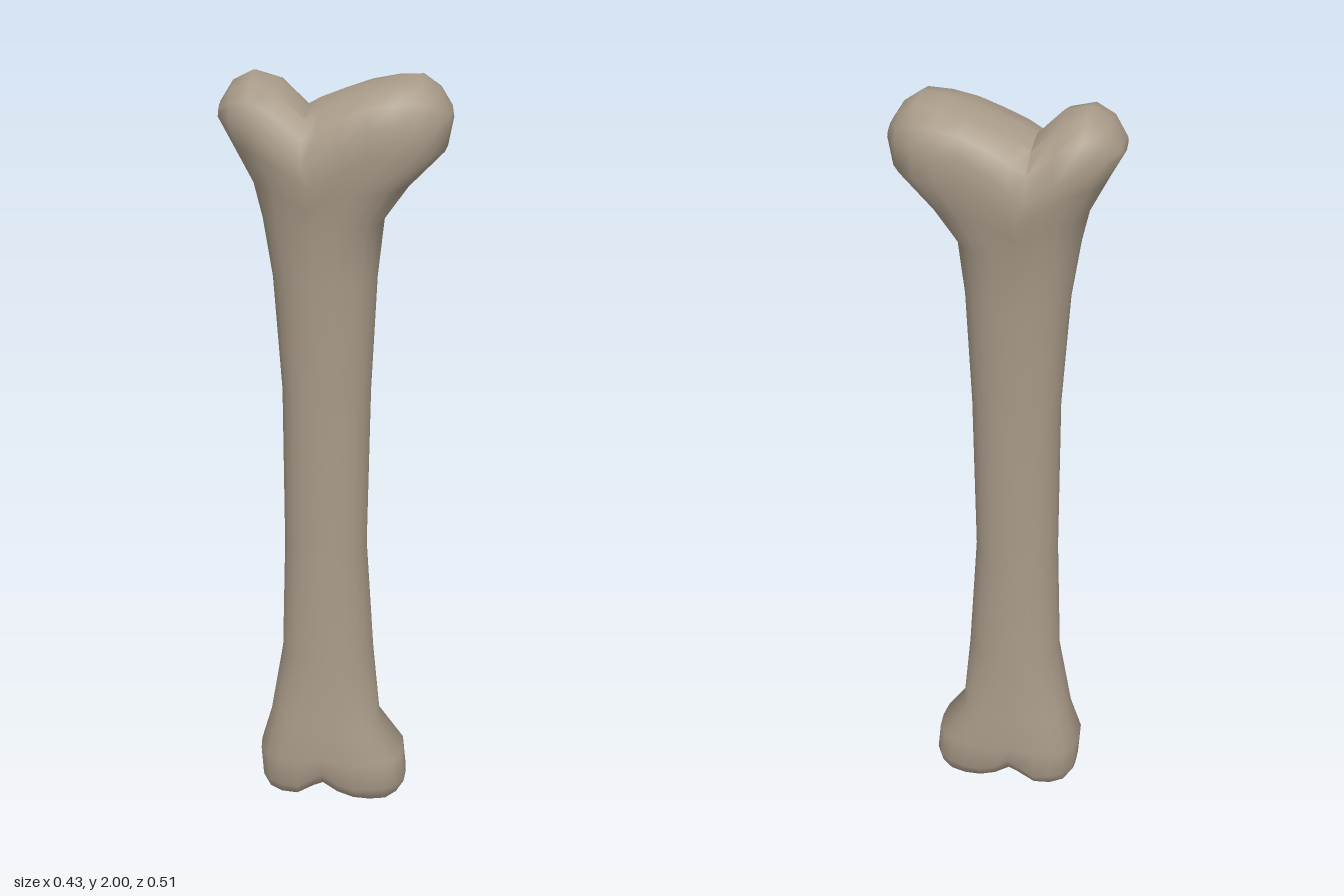
import * as THREE from 'three';
import { toCreasedNormals } from 'three/addons/utils/BufferGeometryUtils.js';

// Fractions along the wide axis where each cross-section is sampled
const S = [-1, -0.98, -0.87, -0.7, -0.48, -0.25, -0.12, 0.08, 0.3, 0.52, 0.73, 0.88, 0.98, 1];
const T = [1, 0.85, 0.5, 0, -0.5, -0.85, -1];

// Cross-sections: height, wide-axis min and max, half thickness, squareness, notch lift, valley drop
const RINGS = [
  [0.07, -0.208, 0.182, 0.113, 3, 0.05, 0],
  [0.15, -0.213, 0.174, 0.116, 3, 0.015, 0],
  [0.25, -0.185, 0.108, 0.107, 2.4, 0, 0],
  [0.45, -0.152, 0.09, 0.097, 2.1, 0, 0],
  [0.77, -0.143, 0.07, 0.089, 2.1, 0, 0],
  [1.2, -0.145, 0.078, 0.09, 2.1, 0, 0],
  [1.5, -0.165, 0.092, 0.098, 2.2, 0, 0],
  [1.65, -0.187, 0.108, 0.112, 2.4, 0, 0],
  [1.74, -0.207, 0.17, 0.125, 2.7, 0, 0.04],
  [1.83, -0.252, 0.255, 0.135, 3, 0, 0.08],
  [1.9, -0.289, 0.268, 0.135, 3, 0, 0.1],
];

// Ridge heights of the knuckles along the wide axis, one per entry of S
const TOP = [1.9, 1.925, 1.975, 2, 1.985, 1.92, 1.94, 1.96, 1.98, 1.995, 2, 1.97, 1.925, 1.9];
const BOTTOM = [0.07, 0.05, 0.02, 0.01, 0.015, 0.04, 0.05, 0.025, 0.01, 0, 0, 0.02, 0.05, 0.07];

const tent = (s, centre, reach) => Math.max(0, 1 - Math.abs(s - centre) / reach);

// Point on a cross-section; t runs across the thickness from 1 to -1
function point([y, min, max, half, n, notch, valley], s, t) {
  const w = half * Math.pow(Math.max(0, 1 - Math.pow(Math.abs(s), n)), 1 / n);
  return new THREE.Vector3(
    (min + max) / 2 + (s * (max - min)) / 2,
    y + notch * tent(s, -0.14, 0.34) - valley * tent(s, -0.25, 0.5),
    w * t
  );
}

function boneGeometry() {
  const positions = [];
  const triangle = (a, b, c) => {
    const area = b.clone().sub(a).cross(c.clone().sub(a)).length();
    if (area > 1e-8) for (const p of [a, b, c]) positions.push(p.x, p.y, p.z);
  };
  // Skin a grid of points
  const skin = (grid, flip) => {
    for (let i = 0; i + 1 < grid.length; i++) {
      for (let j = 0; j + 1 < grid[i].length; j++) {
        const a = grid[i][j], b = grid[i][j + 1], c = grid[i + 1][j + 1], d = grid[i + 1][j];
        if (flip) { triangle(a, c, b); triangle(a, d, c); }
        else { triangle(a, b, c); triangle(a, c, d); }
      }
    }
  };

  // Shaft and the sides of both ends
  skin(RINGS.map((ring) => [
    ...S.map((s) => point(ring, s, 1)),
    ...S.slice(0, -1).reverse().map((s) => point(ring, s, -1)),
  ]), false);

  // Rounded, two-lobed end surfaces
  const cap = (ring, ridge, flip) => skin(T.map((t) => S.map((s, k) => {
    const p = point(ring, s, t);
    p.y += (ridge[k] - p.y) * Math.sqrt(1 - t * t);
    return p;
  })), flip);
  cap(RINGS[RINGS.length - 1], TOP, false);
  cap(RINGS[0], BOTTOM, true);

  const geometry = new THREE.BufferGeometry();
  geometry.setAttribute('position', new THREE.Float32BufferAttribute(positions, 3));
  return toCreasedNormals(geometry, 1.05);
}

export function createModel() {
  const group = new THREE.Group();
  group.name = 'bone';
  const material = new THREE.MeshStandardMaterial({ color: 0xa89a88 });
  material.name = 'weathered bone';
  const bone = new THREE.Mesh(boneGeometry(), material);
  bone.name = 'boneShaftAndKnuckles';
  bone.rotation.y = -0.96; // wide axis runs diagonally
  group.add(bone);
  return group;
}
